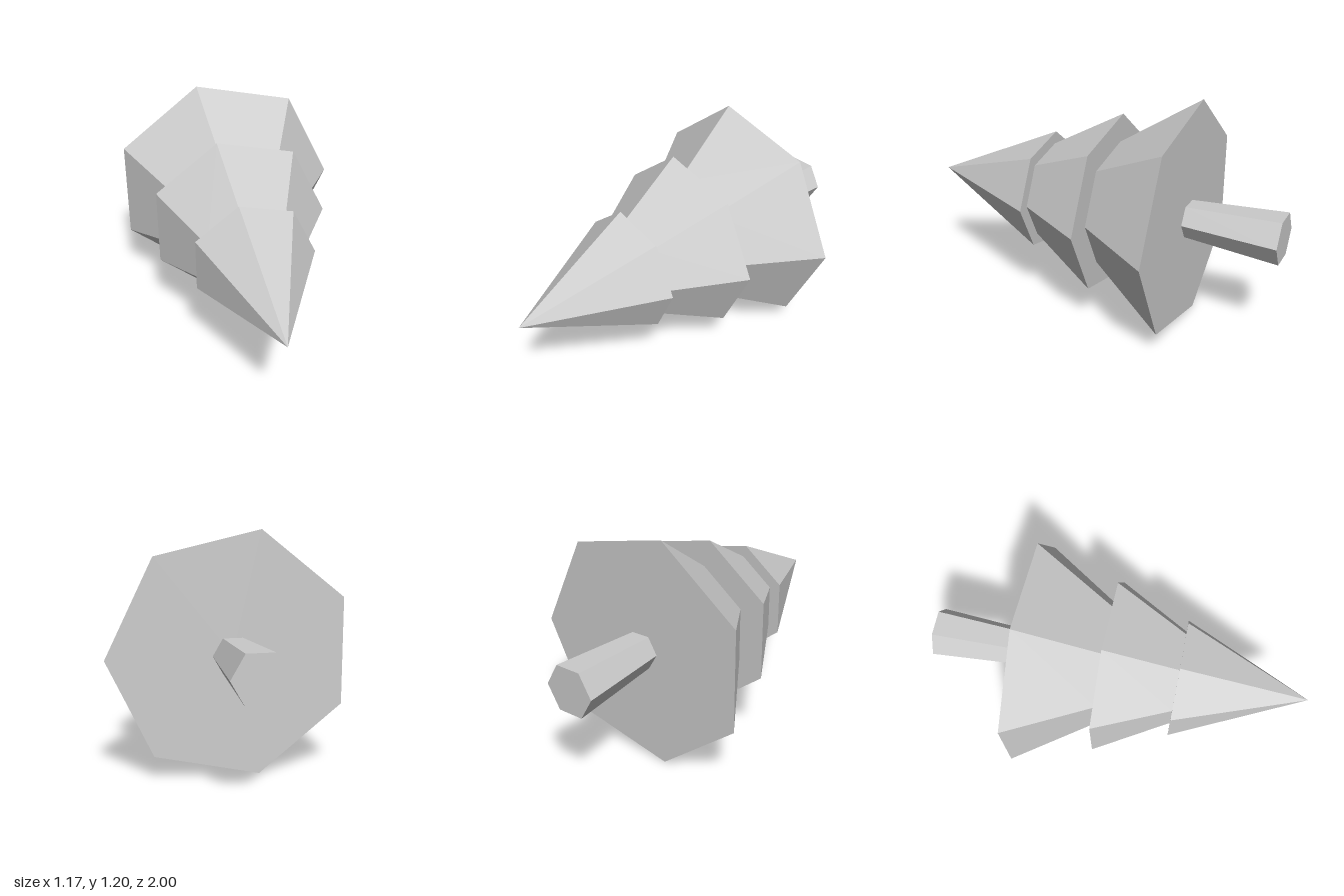
import * as THREE from 'three';

export function createModel() {
  const model = new THREE.Group();
  model.name = 'lyingTree';

  const grey = new THREE.MeshStandardMaterial({ color: 0xcccccc });
  grey.name = 'plainGrey';
  grey.flatShading = true;

  // Tapered section along z, with one corner pointing to +x
  function section(name, sides, frontRadius, backRadius, frontZ, backZ) {
    const geometry = new THREE.CylinderGeometry(
      frontRadius, backRadius, frontZ - backZ, sides, 1, false, Math.PI / 2);
    geometry.rotateX(Math.PI / 2);
    const mesh = new THREE.Mesh(geometry, grey);
    mesh.name = name;
    mesh.position.set(-0.031, 0.601, (frontZ + backZ) / 2);
    model.add(mesh);
  }

  // Three seven-sided foliage tiers, pointed at the front
  section('topTier', 7, 0, 0.323, 1, 0.31);
  section('middleTier', 7, 0.257, 0.478, 0.31, -0.075);
  section('bottomTier', 7, 0.33, 0.614, -0.075, -0.5);

  // Six-sided trunk, widening towards its foot
  section('trunk', 6, 0.098, 0.133, -0.5, -1);

  return model;
}
